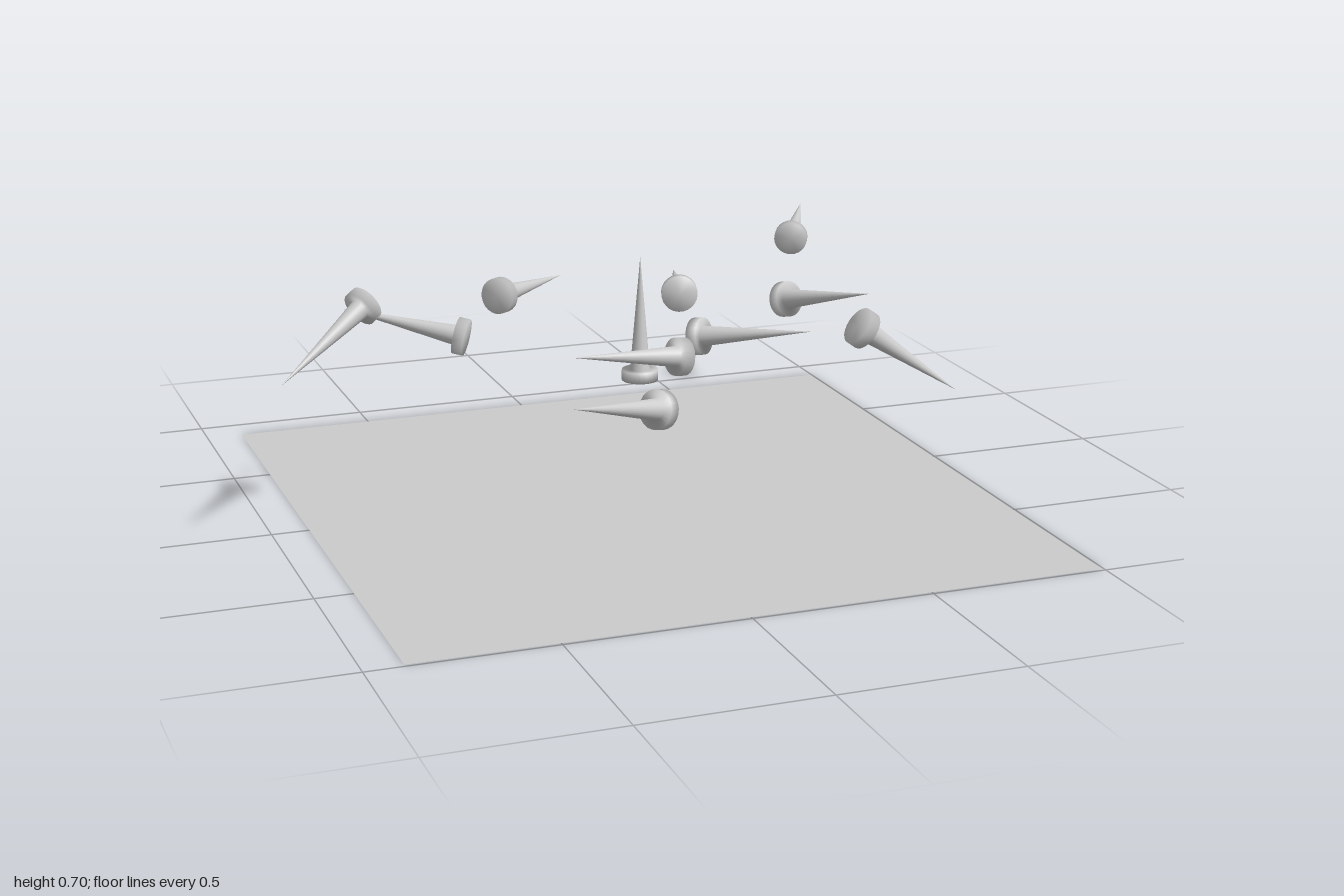
import * as THREE from 'three';

const material = new THREE.MeshStandardMaterial({ color: 0xcccccc });
const floorMaterial = new THREE.MeshStandardMaterial({ color: 0xcccccc, side: THREE.DoubleSide });

const LENGTH = 0.353, HEAD_RADIUS = 0.051, HEAD_HEIGHT = 0.03, SHANK_RADIUS = 0.028;

// [head base x, y, z], [tip x, y, z] of every nail
const NAILS = [
  [[0.05, 0.348, 0.045], [0.05, 0.70, 0.045]],
  [[0.818, 0.524, -0.68], [0.99, 0.56, -0.995]],
  [[-0.29, 0.557, -0.20], [-0.02, 0.54, -0.433]],
  [[-0.44, 0.505, 0.005], [-0.746, 0.572, -0.166]],
  [[-0.722, 0.634, 0.022], [-0.997, 0.47, 0.176]],
  [[0.195, 0.563, -0.027], [0.307, 0.545, -0.369]],
  [[0.54, 0.50, -0.096], [0.666, 0.585, 0.225]],
  [[0.144, 0.51, 0.22], [0.377, 0.572, 0.487]],
  [[0.04, 0.515, 0.41], [-0.302, 0.567, 0.492]],
  [[-0.163, 0.50, 0.786], [-0.457, 0.583, 0.963]],
  [[0.382, 0.658, 0.754], [0.672, 0.455, 0.749]],
];

// Flat disc head and a long cone shank turned as one smooth profile
function nailGeometry() {
  const profile = [
    [0, 0], [HEAD_RADIUS, 0], [HEAD_RADIUS, HEAD_HEIGHT], [SHANK_RADIUS, HEAD_HEIGHT], [0, LENGTH],
  ].map(([r, y]) => new THREE.Vector2(r, y));
  return new THREE.LatheGeometry(profile, 24);
}

export function createModel() {
  const model = new THREE.Group();
  model.name = 'scatteredNails';

  // Square floor sheet
  const floor = new THREE.Mesh(new THREE.PlaneGeometry(1.89, 1.89), floorMaterial);
  floor.name = 'floor';
  floor.rotation.x = -Math.PI / 2;
  floor.position.set(0.05, 0, 0.045);
  model.add(floor);

  // Nails floating above the floor, each pointing from head to tip
  const geometry = nailGeometry();
  const up = new THREE.Vector3(0, 1, 0);
  NAILS.forEach(([base, tip], i) => {
    const nail = new THREE.Mesh(geometry, material);
    nail.name = `nail${i + 1}`;
    const head = new THREE.Vector3(...base);
    const direction = new THREE.Vector3(...tip).sub(head).normalize();
    nail.position.copy(head);
    nail.quaternion.setFromUnitVectors(up, direction);
    model.add(nail);
  });

  return model;
}
